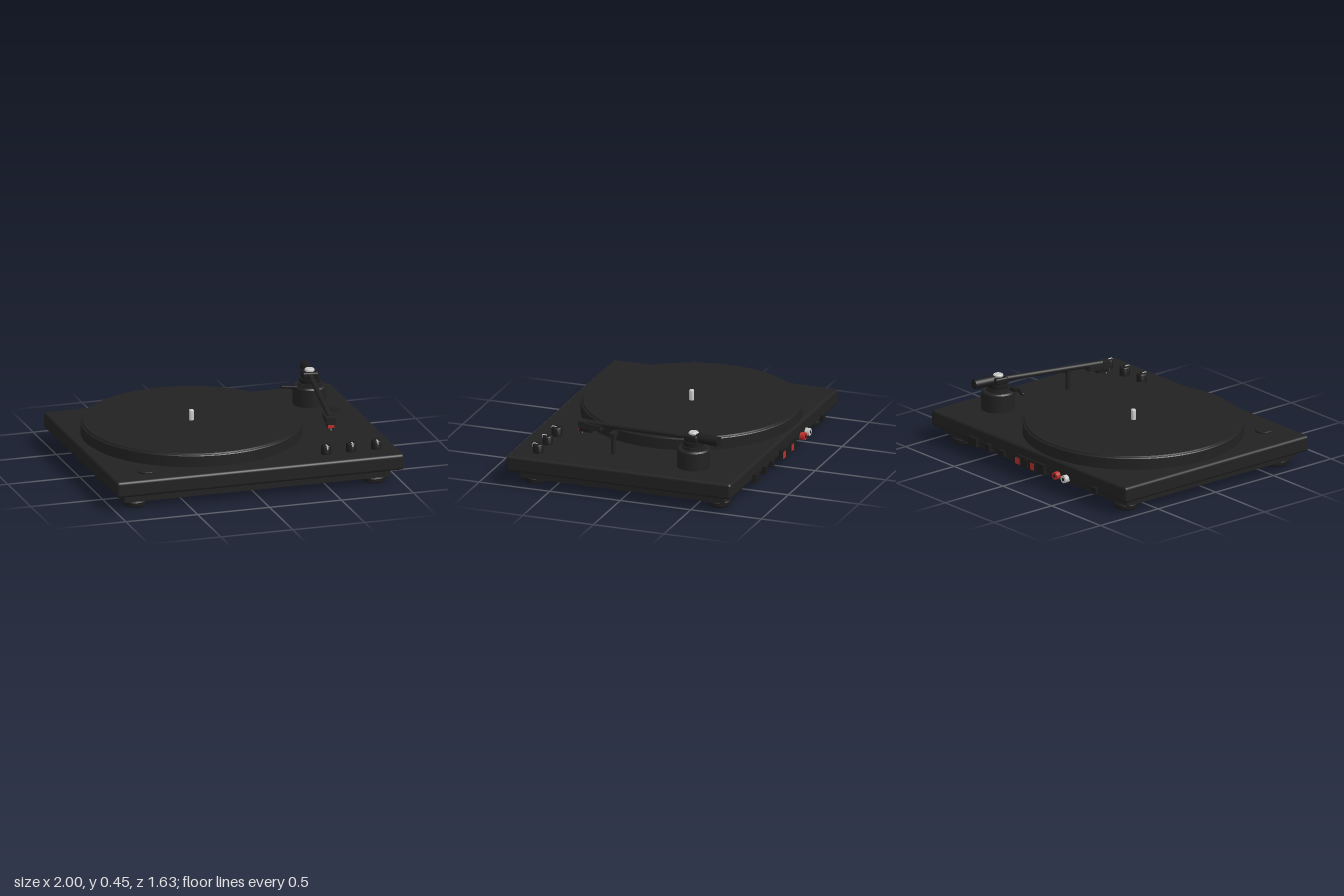
import * as THREE from 'three';
import { RoundedBoxGeometry } from 'three/addons/geometries/RoundedBoxGeometry.js';
import { toCreasedNormals } from 'three/addons/utils/BufferGeometryUtils.js';

const mat = (name, color) => {
  const m = new THREE.MeshStandardMaterial({ color });
  m.name = name;
  return m;
};

export function createModel() {
  const black = mat('satin black', 0x222222);
  const dark = mat('dark rubber', 0x1c1c1c);
  const silver = mat('silver', 0xc8c8c8);
  const red = mat('red', 0xb8302a);
  const root = new THREE.Group();
  root.name = 'turntable';

  const add = (name, geo, material, x, y, z, parent = root) => {
    const mesh = new THREE.Mesh(geo, material);
    mesh.name = name;
    mesh.position.set(x, y, z);
    parent.add(mesh);
    return mesh;
  };
  const group = (name, x, y, z, parent = root) => {
    const g = new THREE.Group();
    g.name = name;
    g.position.set(x, y, z);
    parent.add(g);
    return g;
  };
  const box = (w, h, d) => new THREE.BoxGeometry(w, h, d);
  const cyl = (r, h, n = 32, rTop = r) => new THREE.CylinderGeometry(rTop, r, h, n);
  // Turned part: [radius, height] pairs from the bottom up
  const turned = (points, n = 48) => toCreasedNormals(
    new THREE.LatheGeometry(points.map(([r, y]) => new THREE.Vector2(r, y)), n), 0.6);

  // Plinth and recessed base
  add('plinth', new RoundedBoxGeometry(2, 0.11, 1.593, 4, 0.02), black, 0, 0.155, 0.015);
  add('base', box(1.85, 0.06, 1.447), black, 0, 0.073, 0.018);

  // Feet
  const footGeo = turned([[0, 0], [0.07, 0], [0.078, 0.008], [0.078, 0.032], [0.07, 0.04], [0.06, 0.045], [0, 0.045]]);
  for (const x of [-0.832, 0.832]) {
    for (const z of [0.665, -0.637]) add('foot', footGeo, dark, x, 0, z);
  }

  // Platter with raised mat, and spindle
  const platter = group('platter', -0.208, 0.21, -0.045);
  add('platterDisc', turned([[0, 0], [0.72, 0], [0.72, 0.008], [0.735, 0.01], [0.735, 0.08],
    [0.73, 0.086], [0.722, 0.086], [0.718, 0.095], [0, 0.095]], 96), black, 0, 0, 0, platter);
  add('spindle', turned([[0.017, 0.09], [0.017, 0.16], [0.013, 0.166], [0, 0.166]], 24), silver, 0, 0, 0, platter);

  // Start button and control knobs
  add('startButton', turned([[0.06, 0], [0.06, 0.009], [0.056, 0.012], [0, 0.012]]), black, -0.74, 0.21, 0.64);
  const knobGeo = turned([[0.035, 0], [0.035, 0.054], [0.031, 0.06], [0, 0.06]], 32);
  for (const x of [0.51, 0.685, 0.86]) {
    const knob = group('knob', x, 0.21, 0.635);
    add('knobBody', knobGeo, dark, 0, 0, 0, knob);
    add('knobPointer', box(0.009, 0.006, 0.026), silver, 0, 0.06, 0.018, knob);
    add('knobPointerSide', box(0.009, 0.025, 0.004), silver, 0, 0.05, 0.035, knob);
  }

  // Tonearm pedestal
  const pedestal = group('tonearmPedestal', 0.735, 0.21, -0.42);
  add('pedestalBody', turned([[0.112, 0], [0.112, 0.12], [0.104, 0.13], [0.078, 0.13], [0.078, 0.15], [0, 0.15]]),
    black, 0, 0, 0, pedestal);
  add('pivotColumn', cyl(0.055, 0.06), dark, 0, 0.165, 0, pedestal);
  add('pivotCollar', cyl(0.07, 0.03), dark, 0, 0.162, 0, pedestal);

  // Cueing lever beside the pedestal
  const lever = add('cueLever', new THREE.CapsuleGeometry(0.011, 0.09, 6, 16), dark, 0.573, 0.355, -0.362);
  lever.quaternion.setFromUnitVectors(new THREE.Vector3(0, 1, 0), new THREE.Vector3(0.105, 0, 0.043).normalize());
  add('cueBracket', box(0.06, 0.02, 0.03), dark, 0.65, 0.35, -0.355);

  // Arm rest
  add('armRestPost', cyl(0.017, 0.14, 24), black, 0.705, 0.28, 0.16);
  add('armRestClip', box(0.07, 0.035, 0.036), black, 0.718, 0.348, 0.155);

  // Tonearm, running forward along its own z axis
  const arm = group('tonearm', 0.735, 0, -0.42);
  arm.rotation.y = -0.143;
  const rod = (name, r, a, b, material) => {
    const from = new THREE.Vector3(...a), dir = new THREE.Vector3(...b).sub(from);
    const mesh = add(name, cyl(r, dir.length(), 32), material, 0, 0, 0, arm);
    mesh.position.copy(from).addScaledVector(dir, 0.5);
    mesh.quaternion.setFromUnitVectors(new THREE.Vector3(0, 1, 0), dir.normalize());
  };
  rod('armTube', 0.018, [0, 0.41, 0], [0, 0.372, 0.81], black);
  rod('counterweight', 0.033, [0, 0.412, -0.19], [0, 0.412, -0.02], dark);
  add('pivotHousing', new RoundedBoxGeometry(0.11, 0.045, 0.1, 3, 0.012), dark, 0, 0.413, 0, arm);
  add('pivotCap', turned([[0.034, 0.428], [0.034, 0.446], [0.028, 0.452], [0, 0.452]], 24), silver, 0, 0, 0, arm);

  // Headshell, cartridge and stylus
  const head = group('headshell', 0, 0, 0, arm);
  add('headshellPlate', box(0.064, 0.034, 0.165), black, 0, 0.356, 0.775, head);
  add('headshellFront', box(0.064, 0.046, 0.05), black, 0, 0.359, 0.833, head);
  add('cartridge', box(0.048, 0.034, 0.09), dark, 0, 0.328, 0.81, head);
  add('stylusHolder', box(0.042, 0.02, 0.028), red, 0, 0.322, 0.847, head);
  add('needle', cyl(0.002, 0.024, 8, 0.005), silver, 0, 0.303, 0.845, head);

  // Rear panel: connector block with two red sockets
  const rear = group('rearPanel', 0, 0.113, -0.785);
  add('connectorPlate', box(0.28, 0.07, 0.03), dark, -0.04, 0, 0, rear);
  for (const x of [-0.075, 0, 0.075]) {
    add('socketFrame', box(0.045, 0.05, 0.014), dark, x, 0, -0.018, rear);
    if (x) add('socketFace', box(0.042, 0.045, 0.006), red, x, 0, -0.024, rear);
  }

  // Phono sockets
  for (const [x, material] of [[-0.397, silver], [-0.308, red]]) {
    const ring = add('phonoSocket', cyl(0.026, 0.04, 24), material, x, 0, -0.009, rear);
    ring.rotation.x = Math.PI / 2;
    const hole = add('phonoHole', cyl(0.011, 0.006, 16), dark, x, 0, -0.028, rear);
    hole.rotation.x = Math.PI / 2;
  }

  // Small switches and power inlet
  for (const [x, w, h, d] of [[0.255, 0.055, 0.04, 0.03], [0.39, 0.042, 0.05, 0.04],
    [0.55, 0.08, 0.06, 0.032], [-0.69, 0.045, 0.045, 0.028]]) {
    add('rearSwitch', box(w, h, d), dark, x, 0, -0.002, rear);
  }
  return root;
}
